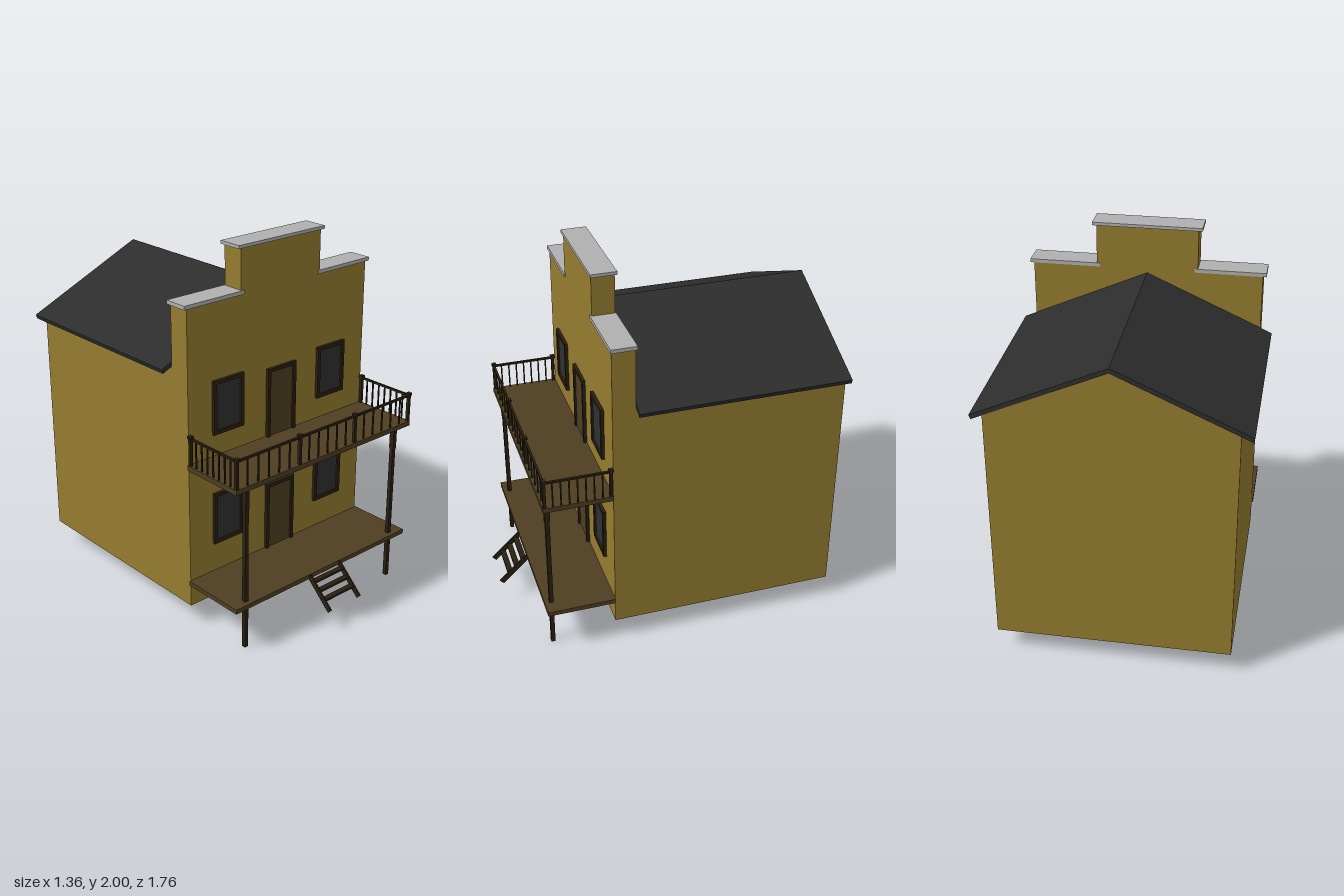
import * as THREE from 'three';

export function createModel() {
  const model = new THREE.Group();
  model.name = 'falseFrontHouse';
  const mat = (name, color, side = THREE.FrontSide) => {
    const m = new THREE.MeshStandardMaterial({ color, side });
    m.name = name;
    return m;
  };
  const ochre = mat('ochre wall', 0x957c2f);
  const slate = mat('dark roof', 0x2d2d2d);
  const stone = mat('grey coping', 0xb0b0b0);
  const plank = mat('brown planks', 0x4f3f22);
  const timber = mat('dark timber', 0x2a2010);
  const glass = mat('dark glass', 0x303032);

  const add = (name, geo, material, parent = model) => {
    const mesh = new THREE.Mesh(geo, material);
    mesh.name = name;
    parent.add(mesh);
    return mesh;
  };
  // Box given by its limits on each axis
  const box = (name, [x0, x1], [y0, y1], [z0, z1], material, parent) => {
    const mesh = add(name, new THREE.BoxGeometry(x1 - x0, y1 - y0, z1 - z0), material, parent);
    mesh.position.set((x0 + x1) / 2, (y0 + y1) / 2, (z0 + z1) / 2);
    return mesh;
  };
  // Outline in x and y, pushed from z0 to z1
  const extrude = (name, points, z0, z1, material, parent) => {
    const shape = new THREE.Shape(points.map(([x, y]) => new THREE.Vector2(x, y)));
    const geo = new THREE.ExtrudeGeometry(shape, { depth: z1 - z0, bevelEnabled: false });
    geo.translate(0, 0, z0);
    return add(name, geo, material, parent);
  };

  // Gabled body and stepped false front
  extrude('body', [[-0.617, 0.12], [0.617, 0.12], [0.617, 1.425], [0, 1.705], [-0.617, 1.425]], -0.875, 0.235, ochre);
  extrude('falseFront', [
    [-0.617, 0.12], [0.617, 0.12], [0.617, 1.752], [0.272, 1.752],
    [0.272, 1.985], [-0.272, 1.985], [-0.272, 1.752], [-0.617, 1.752],
  ], 0.235, 0.355, ochre);

  // Roof as one bent slab
  extrude('roof', [
    [-0.68, 1.425], [-0.672, 1.402], [0, 1.705], [0.672, 1.402], [0.68, 1.425], [0, 1.73],
  ], -0.88, 0.235, slate);

  // Coping along the steps of the false front
  box('topCoping', [-0.293, 0.293], [1.983, 2.0], [0.227, 0.363], stone);
  for (const s of [-1, 1]) {
    const ends = [s * 0.255, s * 0.636].sort((a, b) => a - b);
    box('sideCoping', ends, [1.75, 1.77], [0.23, 0.363], stone);
  }

  // Framed panels for windows and doors
  const framed = (name, cx, w, y0, y1, panel) => {
    const g = new THREE.Group();
    g.name = name;
    model.add(g);
    const t = 0.02, x0 = cx - w / 2, x1 = cx + w / 2, z = [0.355, 0.372];
    const door = name === 'door';
    box('panel', [x0 + t, x1 - t], [door ? y0 : y0 + t, y1 - t], [0.355, 0.362], panel, g);
    box('frameSide', [x0, x0 + t], [y0, y1], z, timber, g);
    box('frameSide', [x1 - t, x1], [y0, y1], z, timber, g);
    box('frameTop', [x0 + t, x1 - t], [y1 - t, y1], z, timber, g);
    if (!door) box('frameBottom', [x0 + t, x1 - t], [y0, y0 + t], z, timber, g);
  };
  for (const y of [0.435, 1.055]) {
    for (const s of [-1, 1]) framed('window', s * 0.363, 0.2, y, y + 0.29, glass);
  }
  framed('door', 0.003, 0.2, 0.268, 0.655, plank);
  framed('door', 0.003, 0.2, 0.933, 1.315, plank);

  // Porch and balcony decks on two posts
  box('porchDeck', [-0.625, 0.625], [0.245, 0.27], [0.355, 0.72], plank);
  box('balconyDeck', [-0.625, 0.625], [0.908, 0.935], [0.355, 0.72], plank);
  for (const x of [-0.533, 0.538]) {
    box('post', [x - 0.011, x + 0.011], [0, 0.91], [0.673, 0.695], timber);
    box('postHead', [x - 0.012, x + 0.012], [0.79, 0.909], [0.67, 0.698], timber);
  }

  // Balcony railing
  const railing = new THREE.Group();
  railing.name = 'railing';
  model.add(railing);
  const upright = (x, z, w, top, name) =>
    box(name, [x - w / 2, x + w / 2], [0.934, top], [z - w / 2, z + w / 2], timber, railing);
  const newel = (x, z) => {
    upright(x, z, 0.016, 1.09, 'newel');
    box('newelCap', [x - 0.012, x + 0.012], [1.083, 1.097], [z - 0.012, z + 0.012], timber, railing);
  };
  const zf = 0.709, xs = [-0.614, -0.195, 0.2, 0.618];
  xs.forEach((x, i) => {
    newel(x, zf);
    if (i === 3) return;
    for (let k = 1; k <= 5; k++) upright(x + (xs[i + 1] - x) * k / 6, zf, 0.007, 1.08, 'baluster');
  });
  box('frontRail', [xs[0], xs[3]], [1.077, 1.088], [zf - 0.006, zf + 0.006], timber, railing);
  for (const x of [xs[0], xs[3]]) {
    newel(x, 0.367);
    for (let k = 1; k <= 7; k++) upright(x, 0.367 + (zf - 0.367) * k / 8, 0.007, 1.08, 'baluster');
    box('sideRail', [x - 0.006, x + 0.006], [1.077, 1.088], [0.357, zf], timber, railing);
  }

  // Ladder-like front steps
  const steps = new THREE.Group();
  steps.name = 'steps';
  model.add(steps);
  for (const x of [-0.107, 0.111]) {
    const stringer = add('stringer', new THREE.BoxGeometry(0.009, 0.03, 0.212), timber, steps);
    stringer.position.set(x, 0.186, 0.793);
    stringer.rotation.x = Math.atan2(0.145, 0.155);
  }
  for (let i = 0; i < 3; i++) {
    const y = 0.231 - i * 0.036, z = 0.738 + i * 0.04;
    box('tread', [-0.105, 0.109], [y - 0.006, y + 0.006], [z - 0.015, z + 0.015], timber, steps);
  }
  return model;
}
